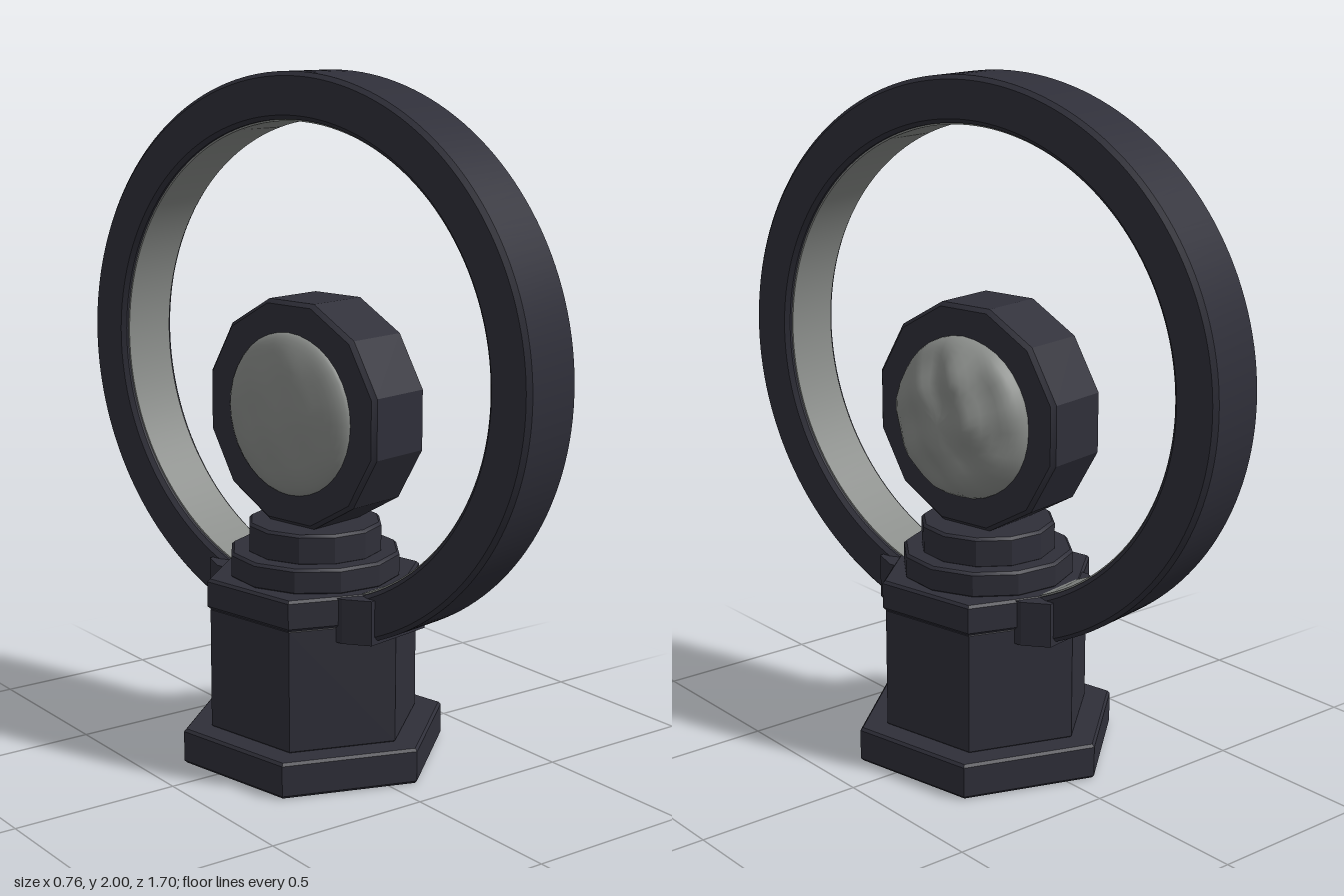
import * as THREE from 'three';
import { toCreasedNormals } from 'three/addons/utils/BufferGeometryUtils.js';

const dark = new THREE.MeshStandardMaterial({ color: 0x2f2f39 });
dark.name = 'dark metal';
const grey = new THREE.MeshStandardMaterial({ color: 0x8a8d8a });
grey.name = 'grey glass';

const GAP = Math.acos(0.36); // half-opening angle where the hoop meets the pedestal
const HOOP_Y = 1.185;
const LENS_Y = 1.037;

function part(parent, name, geometry, material, crease = 0.4) {
  const mesh = new THREE.Mesh(toCreasedNormals(geometry, crease), material);
  mesh.name = name;
  parent.add(mesh);
  return mesh;
}

// Closed prism with softly chamfered rims
function prism(sides, radius, y0, y1, c = 0.008) {
  const profile = [
    [0, y0], [radius - c, y0], [radius, y0 + c],
    [radius, y1 - c], [radius - c, y1], [0, y1],
  ].map(([r, y]) => new THREE.Vector2(r, y));
  return new THREE.LatheGeometry(profile, sides);
}

// Open elliptical band, extruded across its width and turned into the YZ plane
function hoop(outerZ, outerY, innerZ, innerY, width, bevel) {
  const a = -GAP, b = Math.PI + GAP;
  const shape = new THREE.Shape();
  shape.absellipse(0, 0, outerZ, outerY, a, b, false, 0);
  shape.absellipse(0, 0, innerZ, innerY, b, a, true, 0);
  const geometry = new THREE.ExtrudeGeometry(shape, {
    depth: width - 2 * bevel, curveSegments: 72, bevelEnabled: bevel > 0,
    bevelSize: bevel, bevelThickness: bevel, bevelOffset: -bevel, bevelSegments: 1,
  });
  geometry.translate(0, 0, bevel - width / 2);
  geometry.rotateY(Math.PI / 2);
  return geometry;
}

// Lens dome along +y, optionally dented like rough glass
function dome(radius, base, height, rough) {
  const profile = [];
  const rings = 12;
  for (let i = 0; i <= rings; i++) {
    const t = (1 - i / rings) * Math.PI / 2;
    profile.push(new THREE.Vector2(radius * Math.sin(t), base + height * Math.cos(t)));
  }
  const geometry = new THREE.LatheGeometry(profile, 36);
  const p = geometry.attributes.position;
  for (let i = 0; i < p.count; i++) {
    const x = p.getX(i), z = p.getZ(i);
    const wave = Math.sin(31 * x + 9 * z) * Math.cos(27 * z - 8 * x) + 0.6 * Math.sin(47 * z + 19 * x);
    const r = Math.hypot(x, z) / radius;
    p.setY(i, p.getY(i) + rough * wave * r * (1.1 - r));
  }
  return geometry;
}

export function createModel() {
  const model = new THREE.Group();
  model.name = 'hoopLamp';
  const body = new THREE.Group();
  body.name = 'turnedBody';
  body.rotation.y = 0.19;
  model.add(body);

  // Stepped pedestal
  const tiers = [
    ['foot', 6, 0.4, 0, 0.105],
    ['column', 6, 0.316, 0.1, 0.47],
    ['collar', 6, 0.325, 0.465, 0.555],
    ['lowerStep', 12, 0.252, 0.55, 0.627],
    ['upperStep', 12, 0.198, 0.62, 0.712],
  ];
  for (const [name, sides, radius, y0, y1] of tiers) {
    part(body, name, prism(sides, radius, y0, y1), dark);
  }

  // Brackets gripping both hoop ends
  for (const side of [1, -1]) {
    const outline = new THREE.Shape([
      [-0.155, 0.15], [0.155, 0.15], [0.155, 0.25], [0.115, 0.325], [-0.115, 0.325], [-0.155, 0.25],
    ].map(([x, z]) => new THREE.Vector2(x, z)));
    const geometry = new THREE.ExtrudeGeometry(outline, { depth: 0.13, bevelEnabled: false });
    geometry.rotateX(Math.PI / 2);
    geometry.translate(0, 0.552, 0);
    if (side < 0) geometry.rotateY(Math.PI);
    part(body, side > 0 ? 'frontBracket' : 'backBracket', geometry, dark);
  }

  // Hoop with a lighter inner lining
  part(body, 'hoop', hoop(0.846, 0.815, 0.71, 0.683, 0.204, 0.012), dark).position.y = HOOP_Y;
  part(body, 'hoopLining', hoop(0.712, 0.685, 0.705, 0.678, 0.165, 0), grey).position.y = HOOP_Y;

  // Twelve-sided lens housing facing sideways, with glass on both faces
  const head = new THREE.Group();
  head.name = 'lensHead';
  head.position.y = LENS_Y;
  head.rotation.z = -Math.PI / 2;
  body.add(head);
  const housing = prism(12, 0.336, -0.108, 0.108, 0.012);
  housing.rotateY(Math.PI / 12);
  part(head, 'lensHousing', housing, dark);

  // Dome profile runs from rim to crown, so its faces point outward
  part(head, 'roughLens', dome(0.238, 0.1, 0.125, 0.035), grey, 0.9);
  const smooth = part(head, 'smoothLens', dome(0.238, 0.1, 0.065, 0.006), grey, 0.9);
  smooth.rotation.x = Math.PI;

  return model;
}
